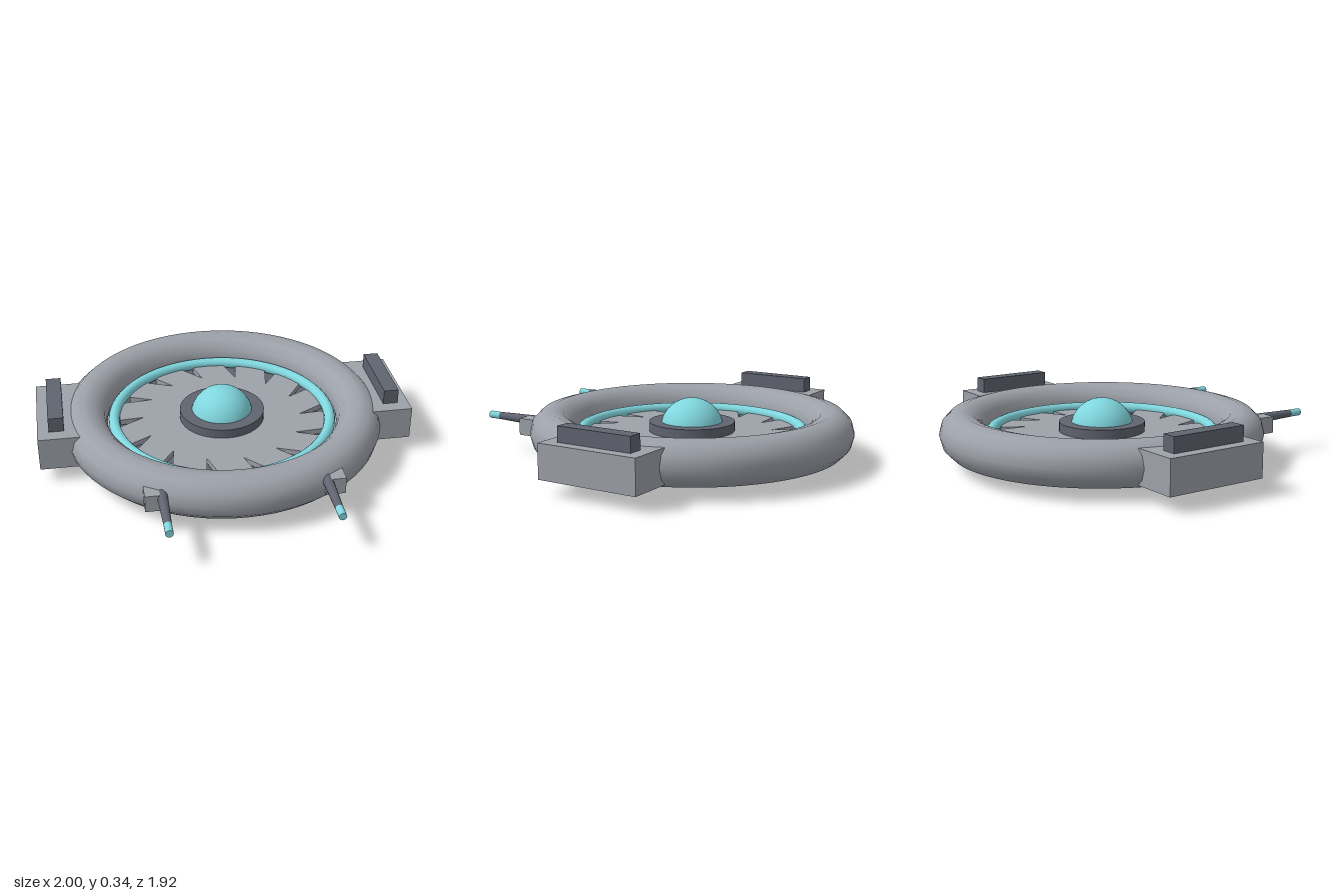
import * as THREE from 'three';

const material = (name, color) => {
  const m = new THREE.MeshStandardMaterial({ color });
  m.name = name;
  return m;
};

export function createModel() {
  const grey = material('hullGrey', 0x9da1a9);
  const dark = material('darkGrey', 0x606470);
  const cyan = material('glowCyan', 0x80d6de);

  const model = new THREE.Group();
  model.name = 'hoverDisc';

  const add = (parent, name, geometry, mat, x = 0, y = 0, z = 0) => {
    const mesh = new THREE.Mesh(geometry, mat);
    mesh.name = name;
    mesh.position.set(x, y, z);
    parent.add(mesh);
    return mesh;
  };
  const ring = (radius, tube, sides) =>
    new THREE.TorusGeometry(radius, tube, sides, 72).rotateX(Math.PI / 2);

  // Round body, set slightly back from the guns
  const body = new THREE.Group();
  body.name = 'body';
  body.position.set(0, 0.18, -0.095);
  model.add(body);
  add(body, 'outerHull', ring(0.745, 0.12, 12), grey);
  add(body, 'glowRing', ring(0.59, 0.03, 12), cyan);
  add(body, 'floorDisc', new THREE.CylinderGeometry(0.612, 0.612, 0.06, 64), dark, 0, -0.07, 0);
  add(body, 'hub', new THREE.CylinderGeometry(0.23, 0.23, 0.06, 48), dark, 0, 0.015, 0);
  add(body, 'core', new THREE.SphereGeometry(0.17, 40, 24), cyan);

  // Fan of slanted blades, leaving narrow wedge gaps at the rim
  const bladeGeometry = new THREE.BoxGeometry(0.52, 0.03, 0.175);
  const bladeCount = 14;
  for (let i = 0; i < bladeCount; i++) {
    const pivot = new THREE.Group();
    pivot.name = 'bladePivot';
    pivot.rotation.y = (i / bladeCount) * Math.PI * 2;
    body.add(pivot);
    add(pivot, 'blade', bladeGeometry, grey, 0.335, -0.02, 0).rotation.y = 0.52;
  }

  // Side pods and front guns, mirrored left and right
  const barrel = new THREE.CylinderGeometry(0.02, 0.03, 0.34, 16).rotateX(Math.PI / 2);
  const tip = new THREE.CylinderGeometry(0.02, 0.02, 0.07, 16).rotateX(Math.PI / 2);
  for (const side of [1, -1]) {
    const label = side > 0 ? 'left' : 'right';
    add(model, label + 'Pod', new THREE.BoxGeometry(0.24, 0.18, 0.56), grey, side * 0.88, 0.18, -0.13);
    add(model, label + 'PodBar', new THREE.BoxGeometry(0.08, 0.09, 0.42), dark, side * 0.9, 0.305, -0.133);
    add(model, label + 'GunMount', new THREE.BoxGeometry(0.1, 0.09, 0.09), grey, side * 0.45, 0.195, 0.64);
    add(model, label + 'GunBarrel', barrel, dark, side * 0.412, 0.217, 0.72);
    add(model, label + 'GunTip', tip, cyan, side * 0.412, 0.217, 0.925);
  }

  return model;
}
